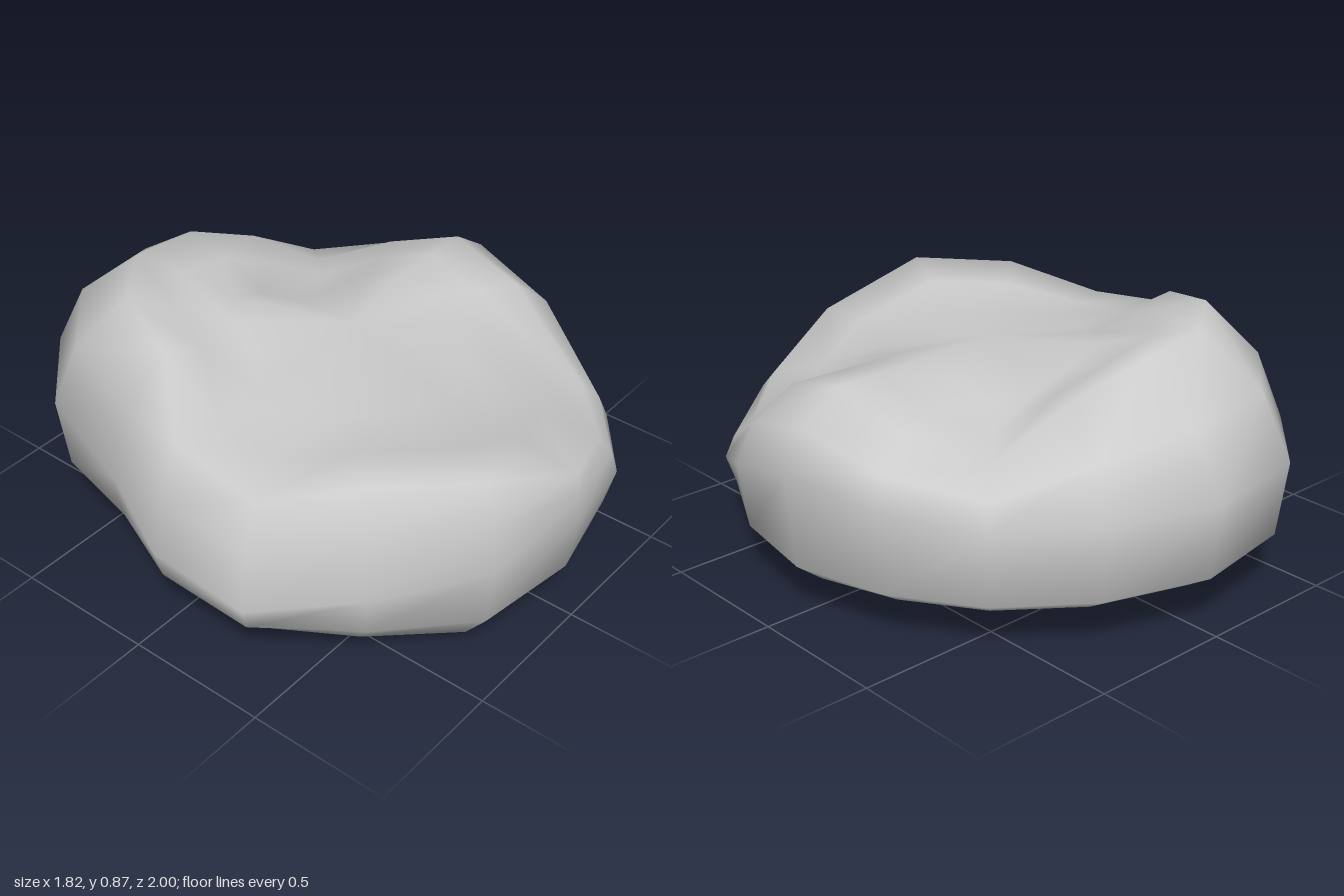
import * as THREE from 'three';

// Sixteen directions around the boulder, from +x turning towards +z.
const SIDES = 16;
const outline = [0.91, 0.92, 0.96, 0.98, 0.995, 1.025, 0.965, 0.985, 0.9, 0.825, 0.95, 1.02, 1.0, 0.94, 0.905, 0.89];
const waistY = [0.5, 0.4, 0.27, 0.32, 0.4, 0.42, 0.36, 0.3, 0.32, 0.38, 0.46, 0.46, 0.46, 0.45, 0.43, 0.46];
const crestR = [0.69, 0.72, 0.86, 0.91, 0.97, 0.95, 0.86, 0.85, 0.77, 0.62, 0.68, 0.7, 0.65, 0.62, 0.66, 0.7];
const crestY = [0.735, 0.66, 0.41, 0.45, 0.58, 0.725, 0.72, 0.63, 0.68, 0.82, 0.87, 0.865, 0.83, 0.73, 0.56, 0.63];
const dishY = [0.74, 0.72, 0.66, 0.62, 0.63, 0.665, 0.665, 0.675, 0.675, 0.69, 0.75, 0.76, 0.71, 0.64, 0.63, 0.69];

const mix = THREE.MathUtils.lerp;

// Rings from the underside, over the crest, into the hollow top: [radius, height]
const rings = [
  (i, x) => [outline[i] * 0.45, 0.03 + 0.03 * x],
  (i, x, z) => [outline[i] * 0.86, 0.085 - 0.02 * x + 0.03 * x * x - 0.04 * z],
  (i, x) => [outline[i] * 0.965, 0.19 - 0.02 * x],
  (i) => [outline[i], waistY[i]],
  (i) => [mix(outline[i], crestR[i], 0.33), mix(waistY[i], crestY[i], 0.56)],
  (i) => [crestR[i], crestY[i]],
  (i) => [crestR[i] * 0.77, mix(crestY[i], dishY[i], 0.42)],
  (i) => [crestR[i] * 0.5, dishY[i]],
];

function boulderGeometry() {
  const points = [];
  const faces = [];
  for (const ring of rings) {
    for (let i = 0; i < SIDES; i++) {
      const a = (i / SIDES) * Math.PI * 2;
      const x = Math.cos(a), z = Math.sin(a);
      const [r, y] = ring(i, x, z);
      points.push(x * r, y, z * r);
    }
  }
  const bottom = points.length / 3;
  const top = bottom + 1;
  points.push(-0.1, 0.015, 0, 0.03, 0.73, 0.04);

  for (let i = 0; i < SIDES; i++) {
    const j = (i + 1) % SIDES;
    for (let k = 0; k < rings.length - 1; k++) {
      const a = k * SIDES + i, b = k * SIDES + j;
      faces.push(a, a + SIDES, b, b, a + SIDES, b + SIDES);
    }
    const last = (rings.length - 1) * SIDES;
    faces.push(bottom, i, j, last + i, top, last + j);
  }

  const geometry = new THREE.BufferGeometry();
  geometry.setAttribute('position', new THREE.Float32BufferAttribute(points, 3));
  geometry.setIndex(faces);
  geometry.computeVertexNormals();
  return geometry;
}

export function createModel() {
  const group = new THREE.Group();
  group.name = 'rock';
  const boulder = new THREE.Mesh(boulderGeometry(), new THREE.MeshStandardMaterial({ color: 0xcccccc }));
  boulder.name = 'boulder';
  group.add(boulder);
  return group;
}
